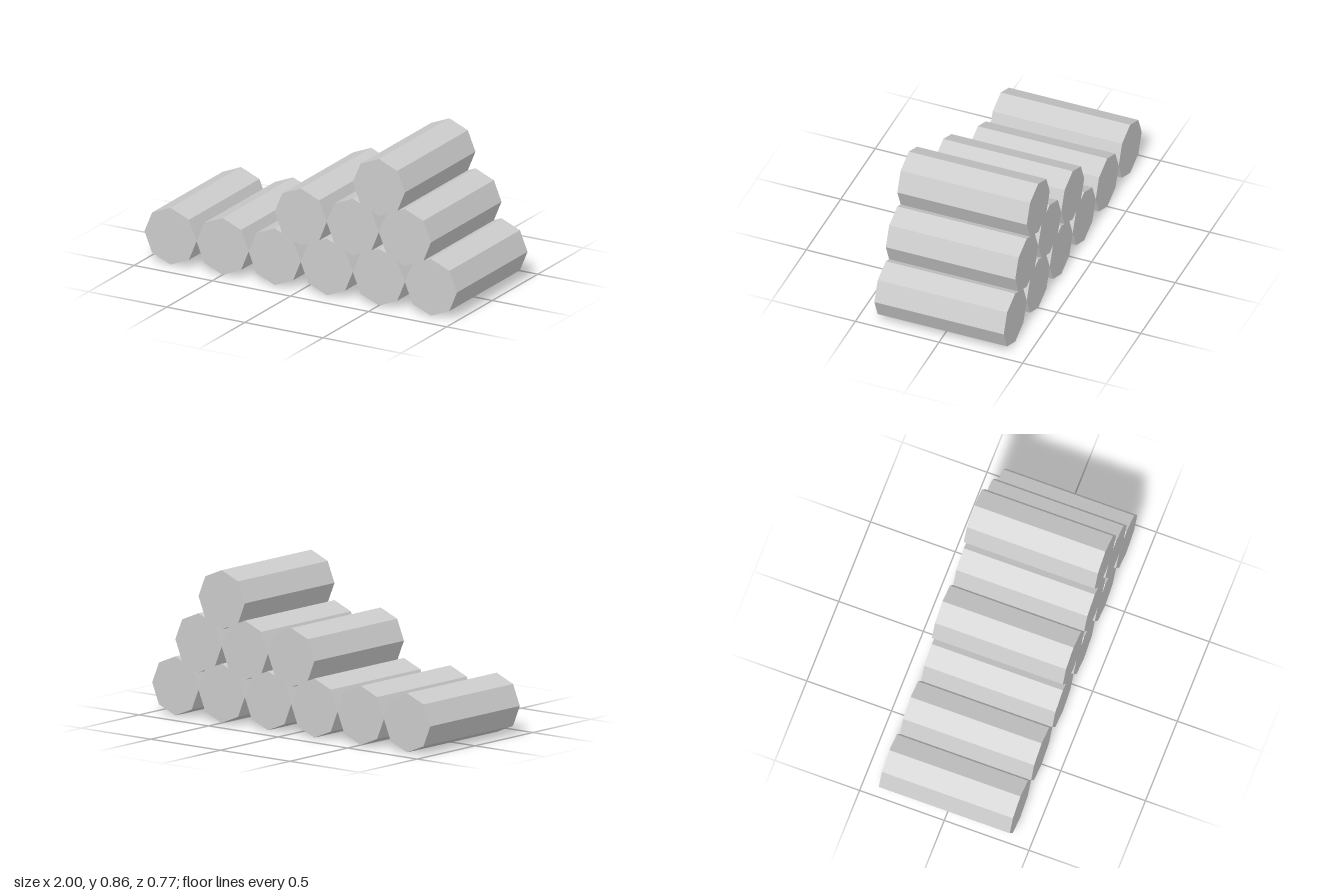
import * as THREE from 'three';

// Stack of eight-sided logs lying along z
export function createModel() {
  const group = new THREE.Group();
  group.name = 'logPile';

  const radius = 1 / 6;
  const length = 0.774;
  const rowHeight = 0.2635;

  const material = new THREE.MeshStandardMaterial({ color: 0xcccccc, flatShading: true });
  const logGeometry = new THREE.CylinderGeometry(radius, radius, length, 8).rotateX(Math.PI / 2);

  // Each row: name, centre of its first log, number of logs
  const rows = [
    { name: 'bottomLog', startX: -5 * radius, count: 6 },
    { name: 'middleLog', startX: 0, count: 3 },
    { name: 'topLog', startX: 3 * radius, count: 1 },
  ];

  rows.forEach(({ name, startX, count }, row) => {
    for (let i = 0; i < count; i++) {
      const log = new THREE.Mesh(logGeometry, material);
      log.name = `${name}${i + 1}`;
      log.position.set(startX + i * 2 * radius, radius + row * rowHeight, 0);
      group.add(log);
    }
  });

  return group;
}
